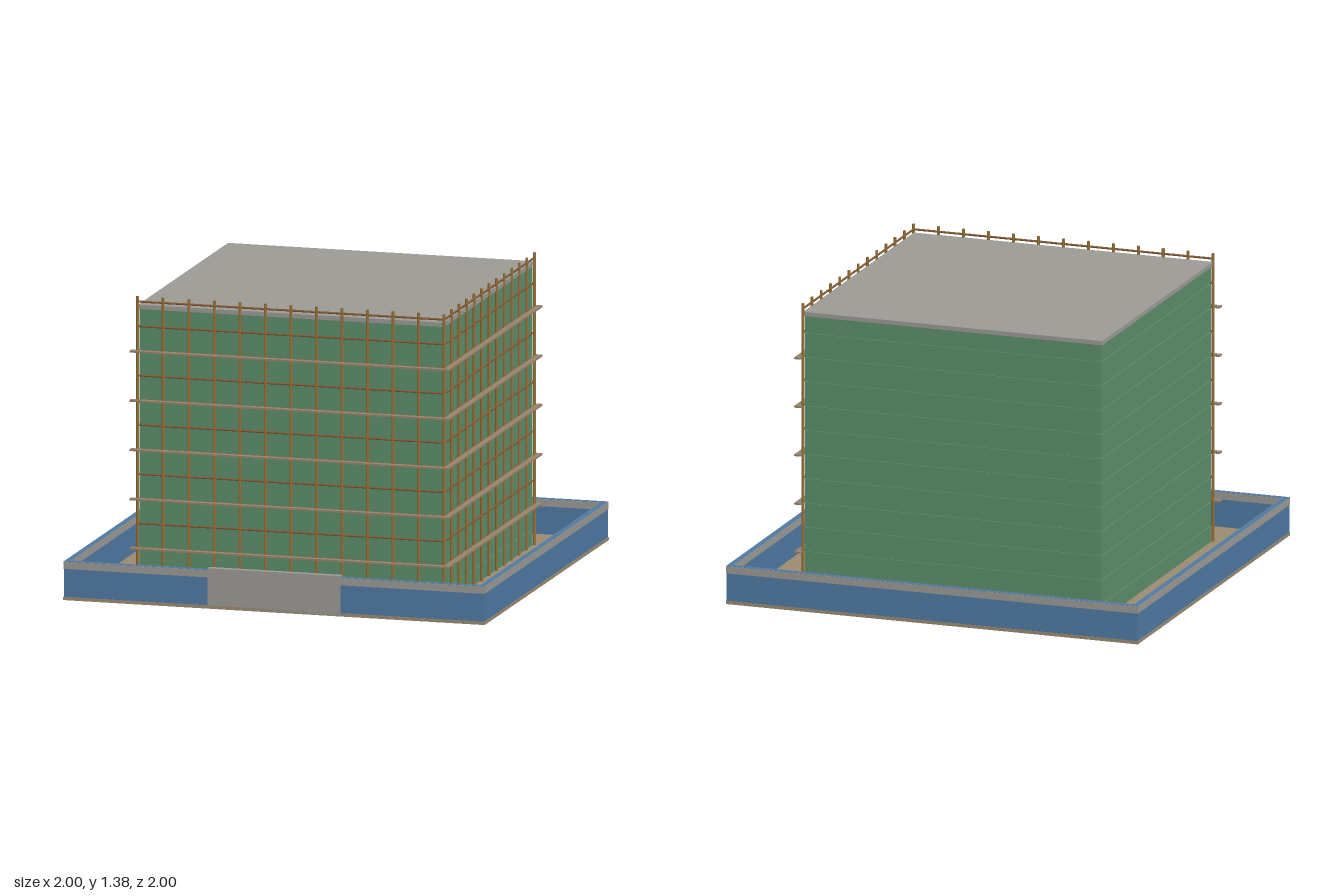
import * as THREE from 'three';

const mat = (name, color) => {
  const m = new THREE.MeshStandardMaterial({ color });
  m.name = name;
  return m;
};

export function createModel() {
  const concrete = mat('concrete grey', 0x9c9a95);
  const blue = mat('hoarding blue', 0x4f7aa3);
  const green = mat('netting green', 0x5c8e6b);
  const earth = mat('site earth', 0x9b8a70);
  const plank = mat('plank brown', 0x97836b);
  const bamboo = mat('bamboo', 0x96733a);
  const bambooDark = mat('dark bamboo', 0x875c33);

  const model = new THREE.Group();
  model.name = 'buildingSite';

  // Box given by its lower and upper corners
  const box = (name, material, [x0, y0, z0], [x1, y1, z1], parent = model) => {
    const mesh = new THREE.Mesh(new THREE.BoxGeometry(x1 - x0, y1 - y0, z1 - z0), material);
    mesh.position.set((x0 + x1) / 2, (y0 + y1) / 2, (z0 + z1) / 2);
    mesh.name = name;
    parent.add(mesh);
    return mesh;
  };

  // Ground plate
  const ground = 0.015;
  box('ground', earth, [-1, 0, -1], [1, ground, 1]);

  // Hoarding: blue wall with a grey band along its upper edge, on each side
  const fence = (name, turn, spans) => {
    const side = new THREE.Group();
    side.name = name;
    side.rotation.y = turn;
    for (const [a, b] of spans) {
      box('fencePanel', blue, [a, ground, 0.972], [b, 0.18, 0.998], side);
      box('fenceBand', concrete, [a, 0.145, 0.97], [b, 0.179, 1], side);
    }
    model.add(side);
  };
  const gateHalf = 0.315;
  fence('frontFence', 0, [[-0.998, -gateHalf], [gateHalf, 0.998]]);
  fence('leftFence', Math.PI / 2, [[-0.998, 0.998]]);
  fence('backFence', Math.PI, [[-0.998, 0.998]]);
  fence('rightFence', -Math.PI / 2, [[-0.998, 0.998]]);
  box('gate', concrete, [-gateHalf, 0.001, 0.969], [gateHalf, 0.188, 1]);

  // Building core, netting sheets per lift with narrow seams, and roof slab
  const lift = 0.1145, firstLift = 0.205, half = 0.72;
  box('buildingCore', green, [-0.715, ground, -0.715], [0.715, 1.315, 0.715]);
  for (let y = firstLift - 2 * lift; y < 1.3; y += lift) {
    const low = Math.max(y + 0.002, ground);
    const high = Math.min(y + lift - 0.002, 1.315);
    box('netting', green, [-half, low, -half], [half, high, half]);
  }
  box('roofSlab', concrete, [-0.726, 1.315, -0.726], [0.726, 1.335, 0.726]);

  // Scaffolding, built along the front and repeated along the left side
  const bays = 12, reach = 0.727, top = 1.375;
  const poleGeo = new THREE.CylinderGeometry(0.007, 0.007, top - ground, 6);
  const ledgerGeo = new THREE.CylinderGeometry(0.005, 0.005, reach * 2, 6).rotateZ(Math.PI / 2);

  const scaffold = (name, turn) => {
    const g = new THREE.Group();
    g.name = name;
    g.rotation.y = turn;
    // Upright poles
    for (let i = 0; i <= bays; i++) {
      const pole = new THREE.Mesh(poleGeo, bamboo);
      pole.name = 'pole';
      pole.position.set(-reach + (2 * reach * i) / bays, (top + ground) / 2, reach);
      g.add(pole);
    }
    // Horizontal ledgers, with a plank deck on every second one
    for (let i = 0; i <= 10; i++) {
      const y = firstLift + i * lift;
      const ledger = new THREE.Mesh(ledgerGeo, bambooDark);
      ledger.name = 'ledger';
      ledger.position.set(0, y, reach);
      g.add(ledger);
      if (i % 2 === 0 && i < 10) {
        box('deck', plank, [-0.758, y - 0.004, reach], [0.758, y + 0.004, 0.758], g);
      }
    }
    model.add(g);
  };
  scaffold('frontScaffold', 0);
  scaffold('leftScaffold', Math.PI / 2);

  return model;
}
